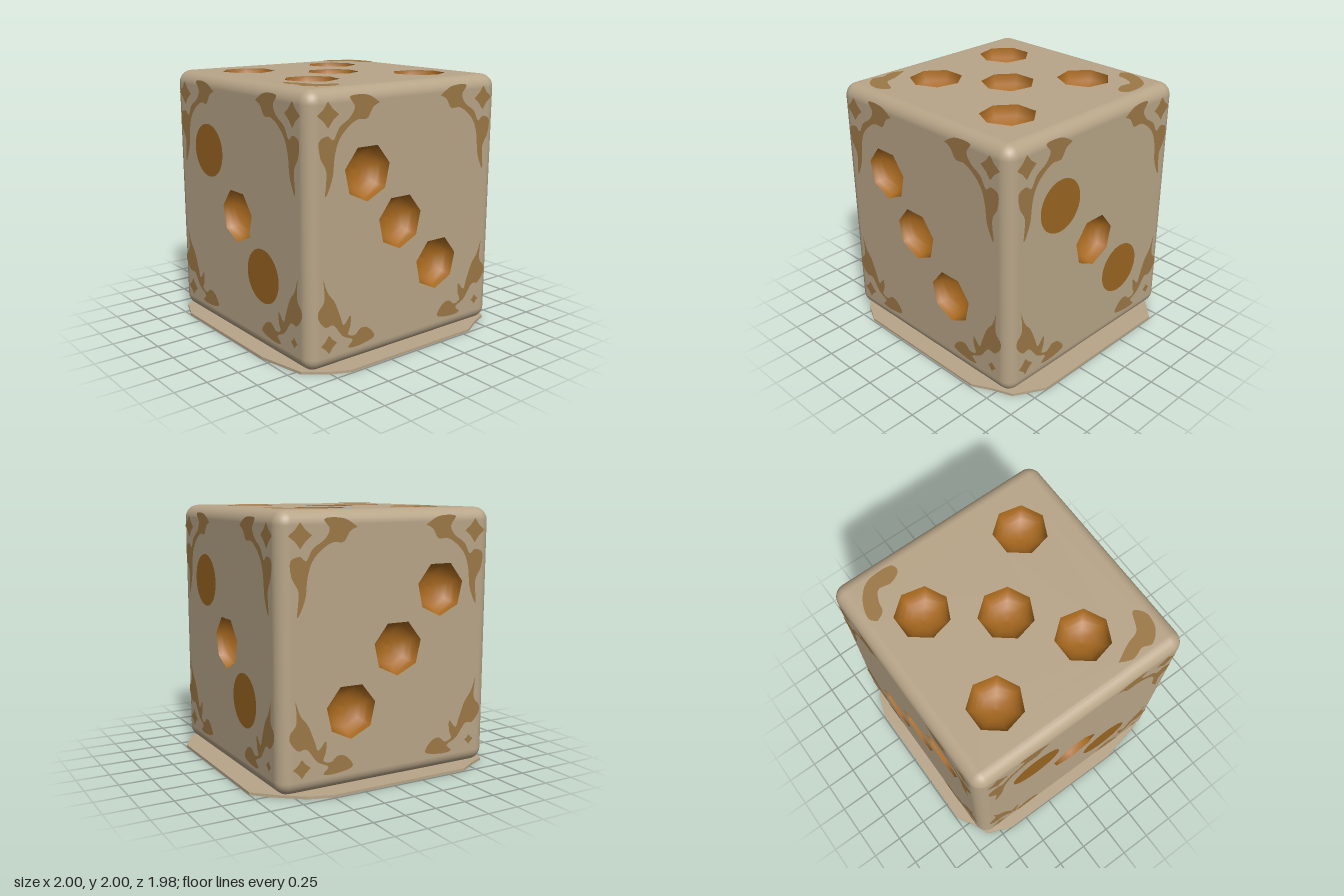
import * as THREE from 'three';
import { RoundedBoxGeometry } from 'three/addons/geometries/RoundedBoxGeometry.js';

const PIT_R = 0.205, PIT_DEPTH = 0.15, SIDES = 7, ROUND = 0.1;
const CX = -0.02; // the cube sits slightly off the base centre

function material(name, color) {
  const m = new THREE.MeshStandardMaterial({ color });
  m.name = name;
  return m;
}

const vectors = (pts) => pts.map(([x, y]) => new THREE.Vector2(x, y));

// Closed smooth outline through a few points
function smoothShape(pts) {
  const v = vectors(pts);
  const shape = new THREE.Shape();
  shape.moveTo(v[0].x, v[0].y);
  shape.splineThru([...v.slice(1), v[0]]);
  return shape;
}

// Cut the faceted rims of the pits out of a panel
function cutPits(shape, pits) {
  for (const [u, v] of pits) {
    const rim = [];
    for (let i = 0; i < SIDES; i++) {
      const a = (i / SIDES) * Math.PI * 2;
      rim.push([u + PIT_R * Math.sin(a), v - PIT_R * Math.cos(a)]);
    }
    shape.holes.push(new THREE.Path(vectors(rim)));
  }
  return shape;
}

// Bowl that opens towards +z
function bowlGeometry() {
  const profile = [];
  for (let i = 0; i <= 6; i++) {
    const a = (i / 6) * Math.PI / 2;
    profile.push([PIT_R * Math.sin(a), -PIT_DEPTH * Math.cos(a)]);
  }
  return new THREE.LatheGeometry(vectors(profile), SIDES).rotateX(Math.PI / 2);
}

// Rounded edges and corners only: the flat centres are left out
function frameGeometry(w, h, d) {
  const box = new RoundedBoxGeometry(w, h, d, 4, ROUND);
  const src = box.index ? box.toNonIndexed() : box;
  const p = src.attributes.position, n = src.attributes.normal;
  const half = [w / 2, h / 2, d / 2];
  const pos = [], nor = [];
  for (let t = 0; t < p.count; t += 3) {
    const ids = [t, t + 1, t + 2];
    const flat = half.some((m, axis) =>
      ids.every((i) => Math.abs(Math.abs(p.getComponent(i, axis)) - m) < 1e-4));
    if (flat) continue;
    for (const i of ids) {
      pos.push(p.getX(i), p.getY(i), p.getZ(i));
      nor.push(n.getX(i), n.getY(i), n.getZ(i));
    }
  }
  const g = new THREE.BufferGeometry();
  g.setAttribute('position', new THREE.Float32BufferAttribute(pos, 3));
  g.setAttribute('normal', new THREE.Float32BufferAttribute(nor, 3));
  return g;
}

// Ornament outlines for the left half of a side face
const UPPER_LEAF = [[-0.29, 1.88], [-0.40, 1.94], [-0.55, 1.94], [-0.51, 1.87], [-0.55, 1.80],
  [-0.64, 1.74], [-0.69, 1.66], [-0.74, 1.69], [-0.81, 1.66], [-0.80, 1.55], [-0.75, 1.45],
  [-0.76, 1.28], [-0.70, 1.40], [-0.68, 1.55], [-0.64, 1.66], [-0.56, 1.74], [-0.48, 1.78],
  [-0.40, 1.78], [-0.35, 1.85]];
const LOWER_LEAF = [[-0.78, 0.71], [-0.74, 0.60], [-0.68, 0.52], [-0.63, 0.40], [-0.60, 0.33],
  [-0.54, 0.39], [-0.54, 0.31], [-0.56, 0.25], [-0.50, 0.23], [-0.44, 0.27], [-0.37, 0.25],
  [-0.32, 0.17], [-0.46, 0.14], [-0.56, 0.15], [-0.52, 0.20], [-0.61, 0.25], [-0.69, 0.35],
  [-0.76, 0.35], [-0.82, 0.42], [-0.82, 0.48], [-0.77, 0.55]];
const TOP_SCROLLS = [
  [[0.48, 0.76], [0.54, 0.80], [0.67, 0.76], [0.78, 0.65], [0.79, 0.46], [0.72, 0.43],
    [0.67, 0.52], [0.68, 0.62], [0.60, 0.67], [0.52, 0.69]],
  [[-0.75, -0.40], [-0.68, -0.54], [-0.64, -0.65], [-0.51, -0.72], [-0.58, -0.79],
    [-0.70, -0.77], [-0.78, -0.68], [-0.76, -0.60], [-0.79, -0.50]],
];

function starPoints(u, v, r) {
  return Array.from({ length: 8 }, (_, i) => {
    const a = (i / 4) * Math.PI, q = i % 2 ? r * 0.62 : r;
    return [u + q * Math.cos(a), v + q * Math.sin(a)];
  });
}

export function createModel() {
  const stone = material('beige stone', 0xb8a588);
  const pitMat = material('amber pit', 0xa8691f);
  pitMat.side = THREE.DoubleSide;
  const discMat = material('flat amber', 0x9a6522);
  const goldMat = material('faded gold', 0x9c7846);

  const model = new THREE.Group();
  model.name = 'die';
  const add = (parent, name, geometry, mat, x = 0, y = 0, z = 0) => {
    const mesh = new THREE.Mesh(geometry, mat);
    mesh.name = name;
    mesh.position.set(x, y, z);
    parent.add(mesh);
    return mesh;
  };
  const addFace = (name, position, rx, ry) => {
    const face = new THREE.Group();
    face.name = name;
    face.position.set(...position);
    face.rotation.set(rx, ry, 0);
    model.add(face);
    return face;
  };
  const bowl = bowlGeometry();
  const addPits = (face, pits) => pits.forEach(([u, v]) => add(face, 'pit', bowl, pitMat, u, v));
  const addPanel = (face, v0, v1, pits) => {
    const e = 0.9 - ROUND;
    const shape = new THREE.Shape(vectors([[-e, v0], [e, v0], [e, v1], [-e, v1]]));
    add(face, 'panel', new THREE.ShapeGeometry(cutPits(shape, pits)), stone);
    addPits(face, pits);
  };
  const ornament = (face, name, pts, smooth = true) => {
    const shape = smooth ? smoothShape(pts) : new THREE.Shape(vectors(pts));
    add(face, name, new THREE.ShapeGeometry(shape, 4), goldMat, 0, 0, 0.004);
  };

  // Rounded edges
  add(model, 'roundedEdges', frameGeometry(1.8, 1.98, 1.8), stone, CX, 1.01, 0);

  // Four sides: pits, flat spots and mirrored corner ornaments
  const sides = [
    ['frontFace', [CX, 0, 0.9], 0, [[-0.39, 1.40], [-0.08, 1.0], [0.29, 0.61]], []],
    ['leftFace', [0.9 + CX, 0, 0], Math.PI / 2, [[0, 0.98]], [[-0.39, 1.42], [0.33, 0.60]]],
    ['backFace', [CX, 0, -0.9], Math.PI, [[-0.33, 0.58], [0.06, 1.0], [0.43, 1.41]], []],
    ['rightFace', [CX - 0.9, 0, 0], -Math.PI / 2, [[0, 0.98]], [[-0.39, 1.42], [0.34, 0.60]]],
  ];
  for (const [name, position, turn, pits, spots] of sides) {
    const face = addFace(name, position, 0, turn);
    addPanel(face, 0.02 + ROUND, 2 - ROUND, pits);
    for (const [u, v] of spots) {
      add(face, 'flatSpot', new THREE.CircleGeometry(0.205, 40), discMat, u, v, 0.004);
    }
    for (const s of [1, -1]) {
      const mirror = (pts) => pts.map(([u, v]) => [u * s, v]);
      ornament(face, 'upperLeaf', mirror(UPPER_LEAF));
      ornament(face, 'lowerLeaf', mirror(LOWER_LEAF));
      ornament(face, 'upperStar', mirror(starPoints(-0.735, 1.83, 0.09)), false);
      ornament(face, 'lowerStar', mirror(starPoints(-0.73, 0.215, s > 0 ? 0.07 : 0.04)), false);
    }
  }

  // Top with five pits
  const top = addFace('topFace', [CX, 2, 0], -Math.PI / 2, 0);
  addPanel(top, -0.8, 0.8,
    [[-0.49, 0.45], [0.35, 0.47], [0, 0], [-0.45, -0.33], [0.47, -0.47]]);
  TOP_SCROLLS.forEach((pts) => ornament(top, 'topScroll', pts));

  // Thin flared skirt under the cube, with five pits
  const base = addFace('base', [0, 0, 0], Math.PI / 2, 0);
  const basePits = [[-0.02, 0.02], [0.43, -0.5], [0.42, 0.52], [-0.48, -0.48], [-0.49, 0.5]];
  const outline = new THREE.Shape(vectors([[-0.62, 0.99], [0.57, 0.99], [0.72, 0.91], [0.87, 0.85],
    [1, 0.62], [1, -0.65], [0.86, -0.79], [0.68, -0.93], [0.5, -0.99], [-0.65, -0.99],
    [-0.8, -0.9], [-0.92, -0.85], [-1, -0.65], [-1, 0.42], [-0.92, 0.8], [-0.78, 0.91]]));
  add(base, 'skirt', new THREE.ExtrudeGeometry(cutPits(outline, basePits),
    { depth: 0.02, bevelEnabled: false }), stone, 0, 0, -0.02);
  addPits(base, basePits);

  return model;
}
